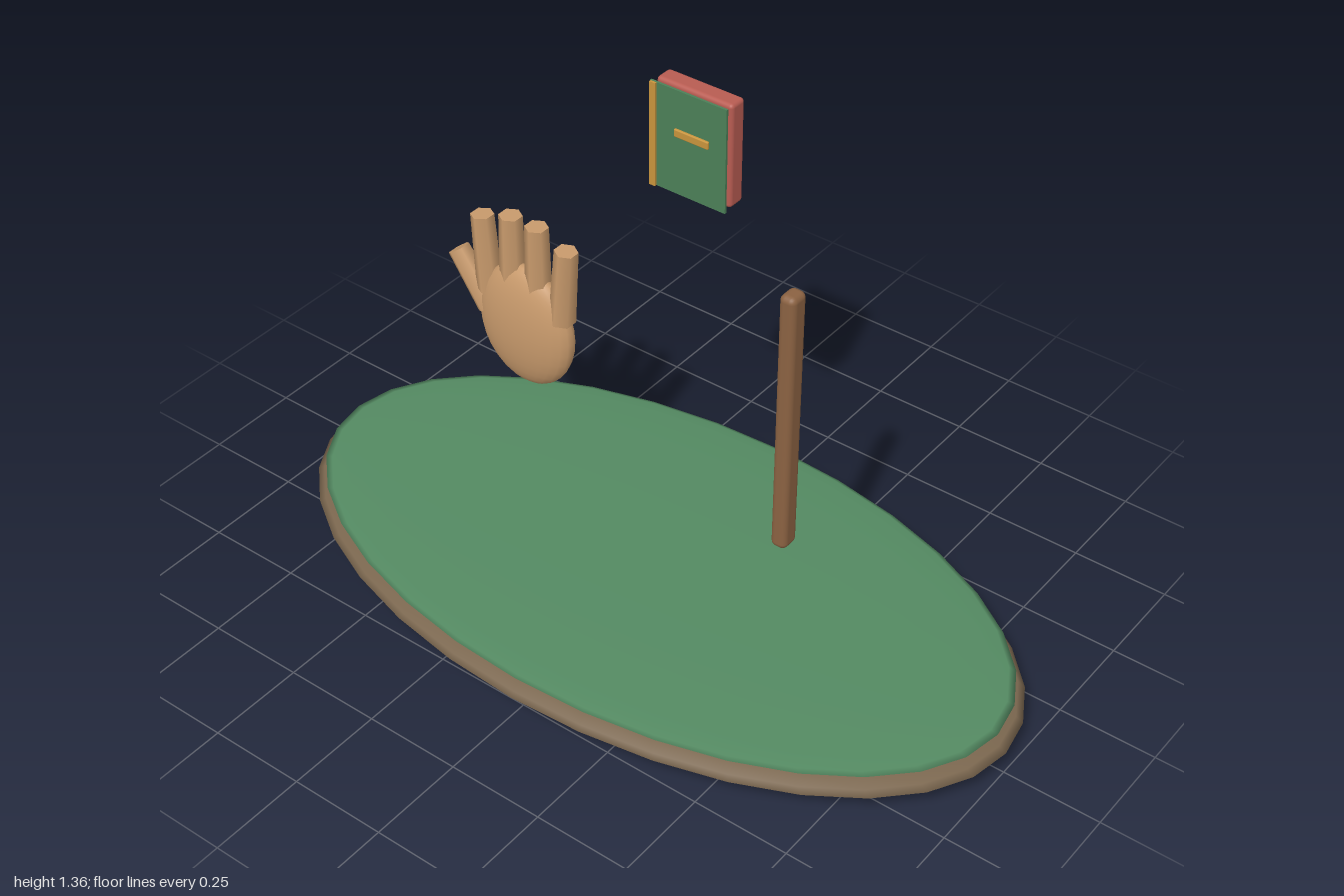
import * as THREE from 'three';
import { RoundedBoxGeometry } from 'three/addons/geometries/RoundedBoxGeometry.js';

const paint = (color) => new THREE.MeshStandardMaterial({ color });
const wood = paint(0x7a664e), felt = paint(0x548a62), skin = paint(0xc89a6c);
const stickWood = paint(0x8b6242), red = paint(0xb85c52), paper = paint(0xd8d8c8);
const cloth = paint(0x4c8058), gold = paint(0xc8943c);

function add(parent, name, geometry, material, x, y, z) {
  const mesh = new THREE.Mesh(geometry, material);
  mesh.name = name;
  mesh.position.set(x, y, z);
  parent.add(mesh);
  return mesh;
}

function ellipsoid(rx, ry, rz, w = 32, h = 16) {
  return new THREE.SphereGeometry(1, w, h).scale(rx, ry, rz);
}

// Tapered cylinder running from its base to its tip in the z = 0 plane
function addFinger(parent, name, base, tip) {
  const a = new THREE.Vector3(...base, 0), b = new THREE.Vector3(...tip, 0);
  const dir = b.clone().sub(a);
  const mid = a.clone().add(b).multiplyScalar(0.5);
  const finger = add(parent, name, new THREE.CylinderGeometry(0.029, 0.033, dir.length(), 6), skin, mid.x, mid.y, 0);
  finger.quaternion.setFromUnitVectors(new THREE.Vector3(0, 1, 0), dir.normalize());
}

function group(parent, name) {
  const g = new THREE.Group();
  g.name = name;
  parent.add(g);
  return g;
}

export function createModel() {
  const model = new THREE.Group();
  model.name = 'floatingObjectsDisplay';

  // Oval base with a thin felt top
  const base = group(model, 'base');
  add(base, 'baseRim', ellipsoid(1, 0.06, 0.545), wood, 0, 0.06, 0);
  add(base, 'feltTop', ellipsoid(0.975, 0.018, 0.525), felt, 0, 0.105, 0);

  // Open hand
  const hand = group(model, 'hand');
  add(hand, 'palm', ellipsoid(0.14, 0.167, 0.052, 24, 16), skin, -0.38, 0.643, 0);
  addFinger(hand, 'thumb', [-0.495, 0.645], [-0.588, 0.773]);
  addFinger(hand, 'indexFinger', [-0.493, 0.70], [-0.508, 0.904]);
  addFinger(hand, 'middleFinger', [-0.42, 0.735], [-0.42, 0.936]);
  addFinger(hand, 'ringFinger', [-0.342, 0.735], [-0.342, 0.936]);
  addFinger(hand, 'littleFinger', [-0.272, 0.70], [-0.255, 0.904]);

  // Upright stick
  add(model, 'stick', new RoundedBoxGeometry(0.043, 0.71, 0.054, 3, 0.016), stickWood, 0.374, 0.71, 0);

  // Book: red back block, pages, front cover with gold trim
  const book = group(model, 'book');
  const y = 1.223;
  add(book, 'backBlock', new RoundedBoxGeometry(0.208, 0.268, 0.048, 3, 0.01), red, -0.002, y, -0.167);
  add(book, 'pages', new RoundedBoxGeometry(0.185, 0.235, 0.03, 2, 0.006), paper, -0.002, y, -0.142);
  add(book, 'frontCover', new THREE.BoxGeometry(0.208, 0.268, 0.006), cloth, -0.002, y, -0.125);
  add(book, 'spineTrim', new THREE.BoxGeometry(0.016, 0.268, 0.006), gold, -0.096, y, -0.119);
  add(book, 'titleBar', new RoundedBoxGeometry(0.094, 0.02, 0.008, 2, 0.003), gold, 0.01, 1.25, -0.12);

  return model;
}
